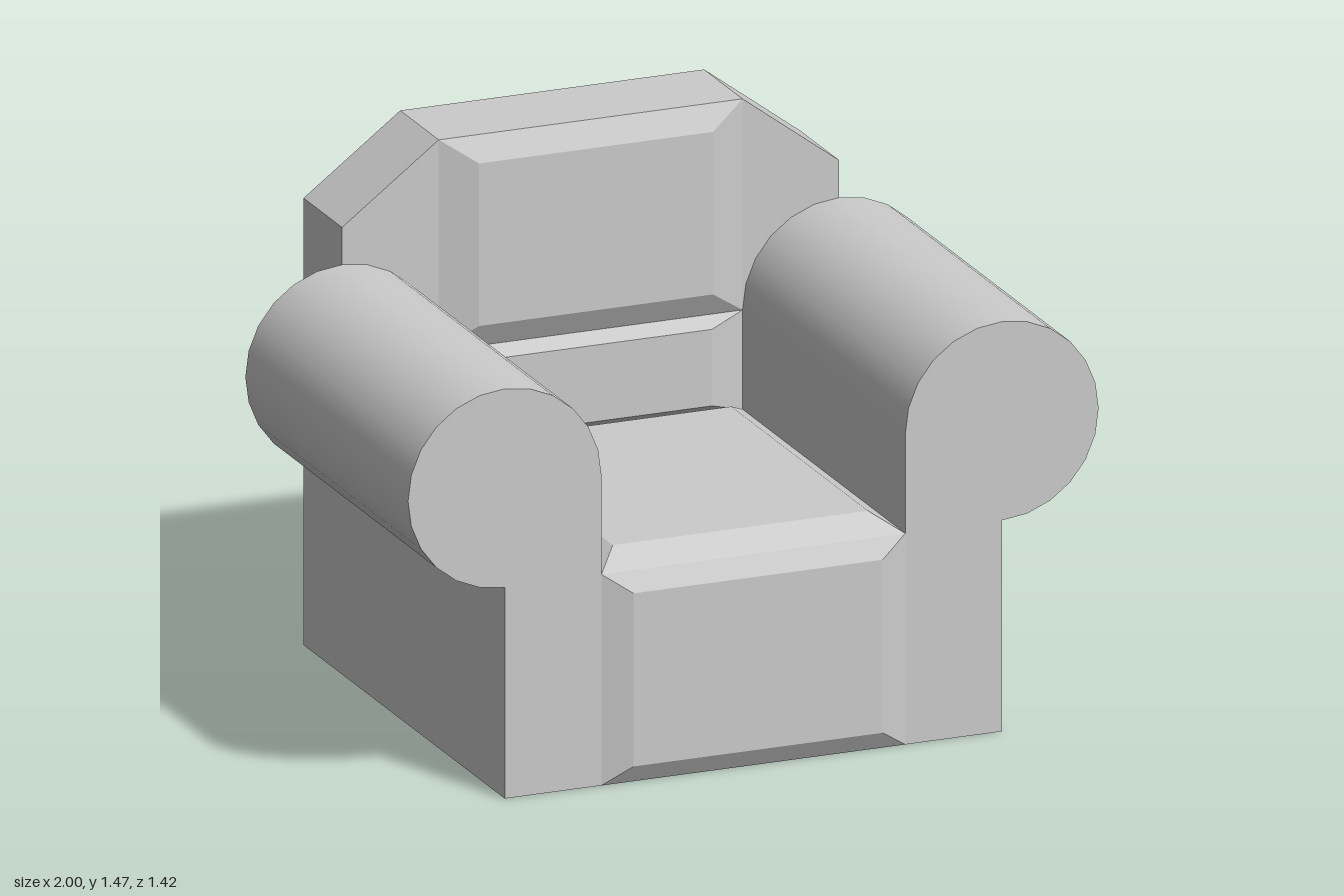
import * as THREE from 'three';

const IN = 0.44, OUT = 0.72;            // inner and outer faces of the arms
const REAR = -0.71, MID = -0.445, FRONT = 0.675;
const SEAT = 0.595, ARM_Y = 0.875, R = 0.28;

const material = new THREE.MeshStandardMaterial({ color: 0xcccccc, side: THREE.DoubleSide });

function part(name, geometry) {
  const mesh = new THREE.Mesh(geometry, material);
  mesh.name = name;
  return mesh;
}

// Flat-shaded geometry from four-cornered faces
function quads(faces) {
  const pos = [];
  for (const [a, b, c, d] of faces) pos.push(...a, ...b, ...c, ...a, ...c, ...d);
  const g = new THREE.BufferGeometry();
  g.setAttribute('position', new THREE.Float32BufferAttribute(pos, 3));
  g.computeVertexNormals();
  return g;
}

// Wall following an xy outline between two depths
function wall(points, z0, z1) {
  const faces = [];
  for (let i = 0; i + 1 < points.length; i++) {
    const p = points[i], q = points[i + 1];
    faces.push([[...p, z1], [...p, z0], [...q, z0], [...q, z1]]);
  }
  return quads(faces);
}

// Flat panel with an xy outline at depth z
function panel(points, z, facesBack = false) {
  const shape = new THREE.Shape(points.map(([x, y]) => new THREE.Vector2(x, y)));
  const g = new THREE.ShapeGeometry(shape);
  if (facesBack) g.rotateY(Math.PI);
  return g.translate(0, 0, z);
}

// Bevelled cushion facing +z: rim at z = 0, smaller face at z = depth
function cushion(w, h, depth, inset) {
  const ring = (s, z) => [[-1, -1], [1, -1], [1, 1], [-1, 1]]
    .map(([x, y]) => [x * w / 2 * s, y * h / 2 * s, z]);
  const rim = ring(1, 0), face = ring(1 - 2 * inset, depth);
  const faces = [face];
  for (let i = 0; i < 4; i++) {
    const j = (i + 1) % 4;
    faces.push([rim[i], rim[j], face[j], face[i]]);
  }
  return quads(faces);
}

// Points on the arm roll, angles in steps of 15 degrees
function arc(fromDeg, toDeg) {
  const pts = [], n = Math.abs(toDeg - fromDeg) / 15;
  for (let i = 0; i <= n; i++) {
    const a = THREE.MathUtils.degToRad(fromDeg + (toDeg - fromDeg) * i / n);
    pts.push([OUT + R * Math.cos(a), ARM_Y + R * Math.sin(a)]);
  }
  return pts;
}

function createArm(name) {
  const arm = new THREE.Group();
  arm.name = name;
  const length = FRONT - MID;
  // Rolled top, three quarters of a cylinder
  const roll = new THREE.CylinderGeometry(R, R, length, 18, 1, true, 0, Math.PI * 1.5)
    .rotateX(Math.PI / 2).translate(OUT, ARM_Y, (FRONT + MID) / 2);
  arm.add(
    part('armRoll', roll),
    part('armInnerWall', wall([[IN, ARM_Y], [IN, SEAT]], MID, FRONT)),
    part('armOuterWall', wall([[OUT, 0], [OUT, SEAT]], MID, FRONT)),
    part('armFront', panel([[IN, 0], [OUT, 0], ...arc(-90, 180)], FRONT)),
    // Half disc closing the overhanging rear end
    part('armRearCap', panel(arc(-90, 90).map(([x, y]) => [-x, y]), MID, true)),
    // Shoulder of the backrest above the arm
    part('backShoulder', panel([...arc(180, 90), [OUT, 1.26], [IN, 1.47]], MID)),
  );
  return arm;
}

export function createModel() {
  const chair = new THREE.Group();
  chair.name = 'armchair';

  // Arms
  const rightArm = createArm('rightArm');
  rightArm.scale.x = -1;
  chair.add(createArm('leftArm'), rightArm);

  // Backrest shell, open underneath
  const outline = [[OUT, 0], [OUT, 1.26], [IN, 1.47], [-IN, 1.47], [-OUT, 1.26], [-OUT, 0]];
  chair.add(
    part('backRim', wall(outline, REAR, MID)),
    part('backRear', panel(outline, REAR, true)),
  );

  // Cushions
  const width = 2 * IN;
  const upper = part('backCushion', cushion(width, 1.47 - ARM_Y, 0.037, 0.115));
  upper.position.set(0, (1.47 + ARM_Y) / 2, MID);
  const lower = part('lumbarCushion', cushion(width, ARM_Y - SEAT, 0.03, 0.115));
  lower.position.set(0, (ARM_Y + SEAT) / 2, MID);
  const seat = part('seatCushion', cushion(width, FRONT - MID, 0.045, 0.08));
  seat.rotation.x = -Math.PI / 2;
  seat.position.set(0, SEAT, (FRONT + MID) / 2);
  const front = part('frontCushion', cushion(width, SEAT, 0.033, 0.09));
  front.position.set(0, SEAT / 2, FRONT);
  chair.add(upper, lower, seat, front);

  return chair;
}
